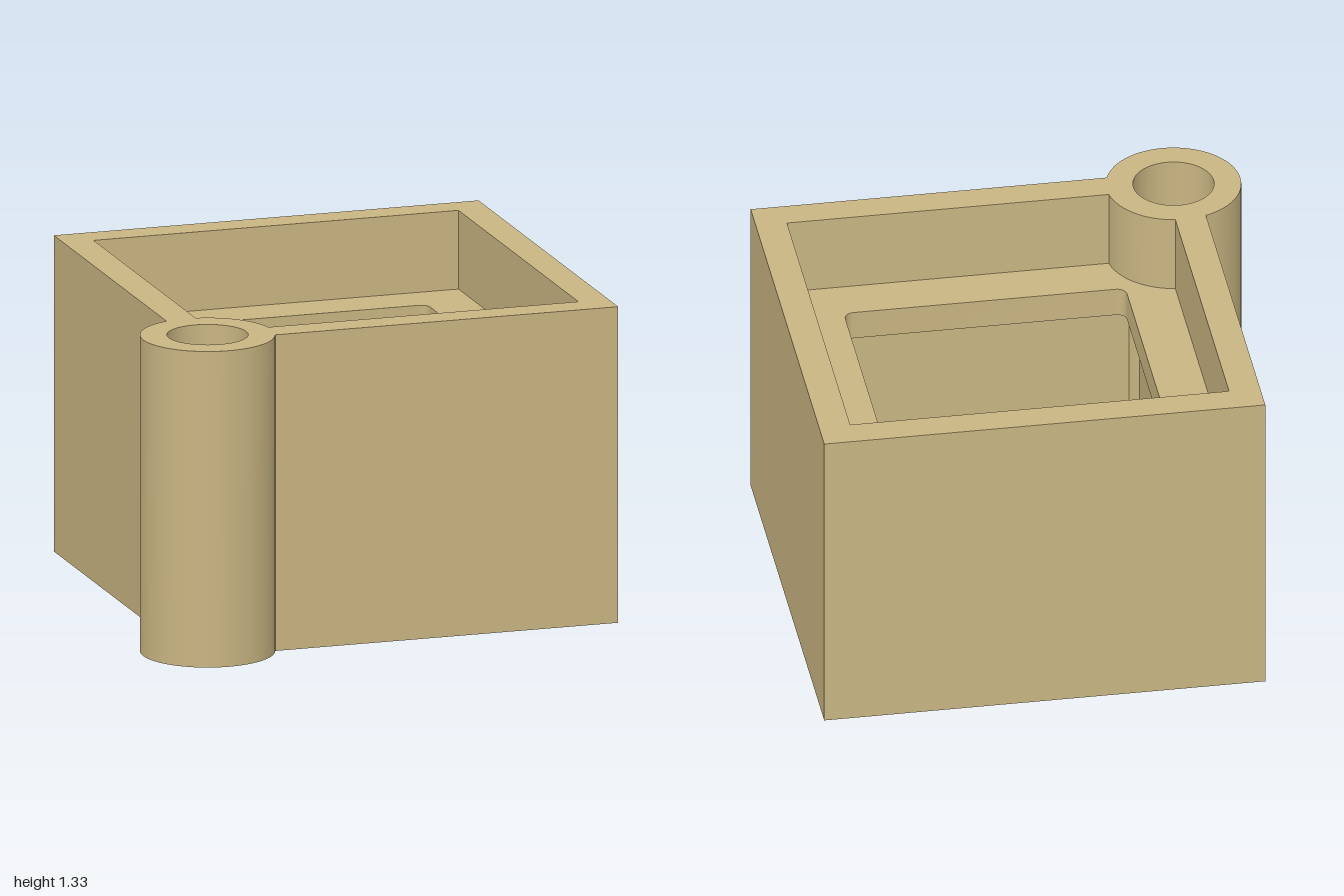
import * as THREE from 'three';
import { toCreasedNormals } from 'three/addons/utils/BufferGeometryUtils.js';

// Plan coordinates are (x, s) with s = -z; contours run counter-clockwise seen from above.
const LOW = -0.815, HIGH = 1, HEIGHT = 1.325;
const POST = -0.725, POST_R = 0.275, BORE_R = 0.165;
const FLOOR_Y = 0.123, LIP_Y = 0.872, LEDGE_Y = 0.995;

// Square inset by d whose front right corner meets the round post
function postSquare(d, aroundPost) {
  const lo = LOW + d, hi = HIGH - d, t = (lo - POST) / POST_R;
  const a0 = Math.acos(t), a1 = Math.asin(t) + (aroundPost ? 2 * Math.PI : 0);
  const pts = [[hi, lo], [hi, hi], [lo, hi]].map(p => new THREE.Vector2(...p));
  const n = aroundPost ? 48 : 24;
  for (let i = 0; i <= n; i++) {
    const a = a0 + (a1 - a0) * i / n;
    pts.push(new THREE.Vector2(POST + POST_R * Math.cos(a), POST + POST_R * Math.sin(a)));
  }
  return pts;
}

// Square inset by d with rounded corners of radius r
function roundedSquare(d, r) {
  const lo = LOW + d + r, hi = HIGH - d - r, pts = [];
  [[hi, hi], [lo, hi], [lo, lo], [hi, lo]].forEach(([x, s], k) => {
    for (let i = 0; i <= 6; i++) {
      const a = (k + i / 6) * Math.PI / 2;
      pts.push(new THREE.Vector2(x + r * Math.cos(a), s + r * Math.sin(a)));
    }
  });
  return pts;
}

function circle(r, n = 64) {
  return Array.from({ length: n }, (_, i) => {
    const a = i / n * 2 * Math.PI;
    return new THREE.Vector2(POST + r * Math.cos(a), POST + r * Math.sin(a));
  });
}

// Vertical wall along a contour, facing outward or inward
function wall(pts, y0, y1, inward) {
  const loop = inward ? [...pts].reverse() : pts, pos = [];
  loop.forEach((a, i) => {
    const b = loop[(i + 1) % loop.length];
    pos.push(a.x, y0, -a.y, b.x, y0, -b.y, b.x, y1, -b.y);
    pos.push(a.x, y0, -a.y, b.x, y1, -b.y, a.x, y1, -a.y);
  });
  const g = new THREE.BufferGeometry();
  g.setAttribute('position', new THREE.Float32BufferAttribute(pos, 3));
  return toCreasedNormals(g, 0.5);
}

// Horizontal face with holes, facing up or down
function face(pts, holes, y, down) {
  const shape = new THREE.Shape(pts);
  holes.forEach(h => shape.holes.push(new THREE.Path(h)));
  const g = new THREE.ShapeGeometry(shape).rotateX(-Math.PI / 2).translate(0, y, 0);
  if (down) g.setIndex(Array.from(g.index.array).reverse());
  return toCreasedNormals(g, 0.5);
}

export function createModel() {
  const group = new THREE.Group();
  const tan = new THREE.MeshStandardMaterial({ color: 0xc9b582 });
  tan.name = 'tan';
  const add = (name, geometry) => {
    const mesh = new THREE.Mesh(geometry, tan);
    mesh.name = name;
    group.add(mesh);
  };

  const outline = postSquare(0, true);
  const recess = postSquare(0.128, false);
  const cavity = postSquare(0.265, false);
  const opening = roundedSquare(0.328, 0.04);
  const bore = circle(BORE_R);

  // Housing shell and post
  add('outerWall', wall(outline, 0, HEIGHT, false));
  add('topRim', face(outline, [recess, bore], HEIGHT, false));
  add('base', face(outline, [bore], 0, true));
  add('postBore', wall(bore, 0, HEIGHT, true));

  // Upper recess and ledge
  add('recessWall', wall(recess, LEDGE_Y, HEIGHT, true));
  add('ledge', face(recess, [opening], LEDGE_Y, false));
  add('openingEdge', wall(opening, LIP_Y, LEDGE_Y, true));

  // Wider cavity under the ledge
  add('ledgeUnderside', face(cavity, [opening], LIP_Y, true));
  add('cavityWall', wall(cavity, FLOOR_Y, LIP_Y, true));
  add('cavityFloor', face(cavity, [], FLOOR_Y, false));
  return group;
}
